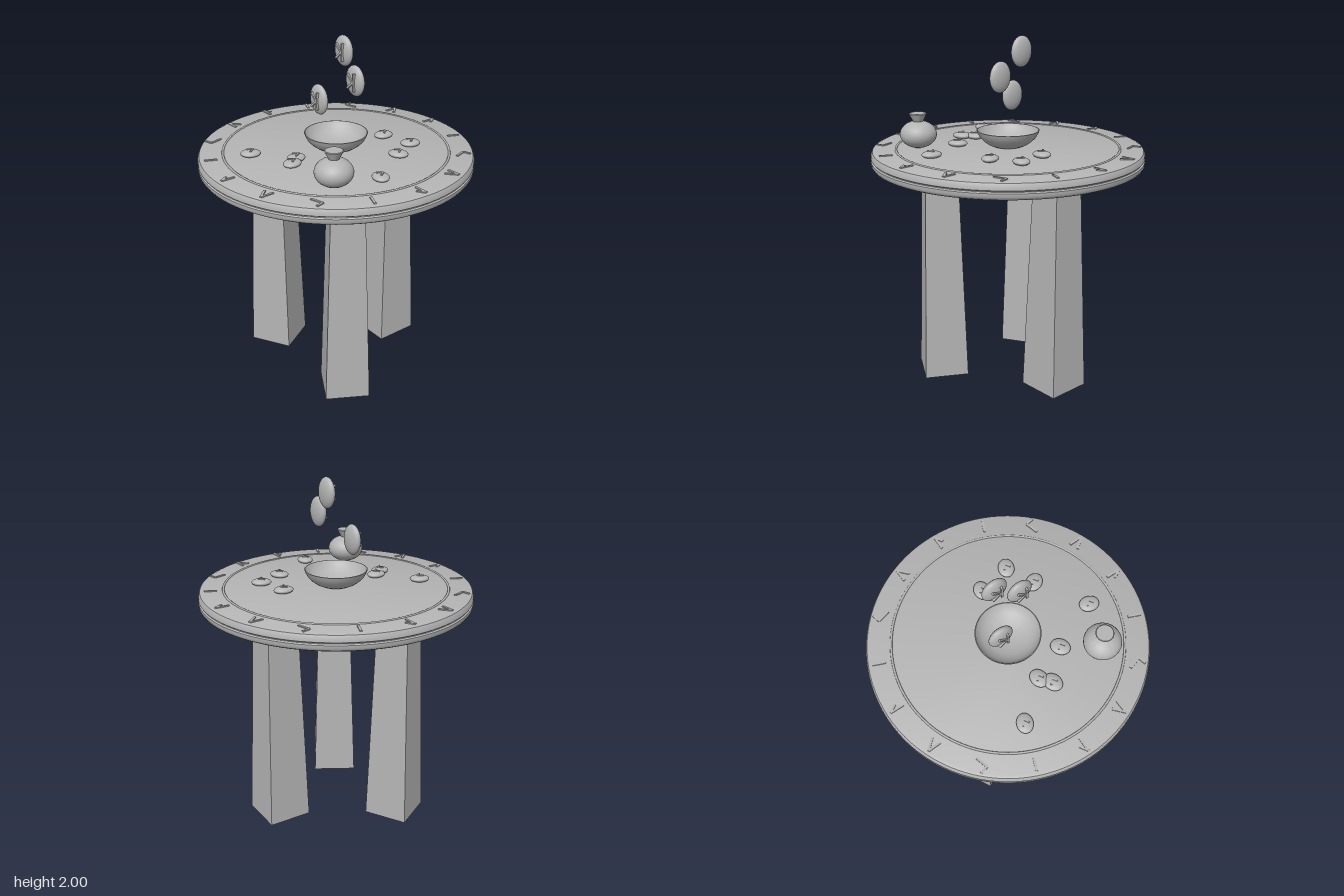
import * as THREE from 'three';
import { toCreasedNormals } from 'three/addons/utils/BufferGeometryUtils.js';

const stone = new THREE.MeshStandardMaterial({ color: 0xb4b4b4 });
stone.name = 'grey stone';

function mesh(name, geometry, parent) {
  const m = new THREE.Mesh(geometry, stone);
  m.name = name;
  parent.add(m);
  return m;
}

function group(name, parent) {
  const g = new THREE.Group();
  g.name = name;
  parent.add(g);
  return g;
}

// Turned part from [radius, height] pairs, running bottom to top
function lathe(points, segments = 64, crease = 0.6) {
  const profile = points.map(([r, y]) => new THREE.Vector2(r, y));
  return toCreasedNormals(new THREE.LatheGeometry(profile, segments), crease);
}

// Thin raised bar from a to b in the xy plane, facing +z
function stroke(parent, [ax, ay], [bx, by], width, depth) {
  const length = Math.hypot(bx - ax, by - ay);
  const m = mesh('carvedStroke', new THREE.BoxGeometry(length, width, depth), parent);
  m.position.set((ax + bx) / 2, (ay + by) / 2, 0);
  m.rotation.z = Math.atan2(by - ay, bx - ax);
}

function pebble(parent, rx, ry, rz) {
  const geometry = new THREE.SphereGeometry(1, 28, 18);
  geometry.scale(rx, ry, rz);
  return mesh('pebble', geometry, parent);
}

export function createModel() {
  const model = new THREE.Group();
  model.name = 'stoneTable';

  // Round table top with a grooved edge
  mesh('tableTop', lathe([
    [0, 1.27], [0.765, 1.27], [0.778, 1.278], [0.785, 1.29], [0.785, 1.308],
    [0.777, 1.314], [0.777, 1.318], [0.785, 1.324], [0.783, 1.345],
    [0.775, 1.36], [0.76, 1.366], [0, 1.366],
  ], 96), model);
  const ridge = mesh('innerRing', new THREE.TorusGeometry(0.642, 0.007, 8, 96), model);
  ridge.rotation.x = Math.PI / 2;
  ridge.position.y = 1.365;

  // Four stroke patterns repeat around the rim: x clockwise, y outward
  const patterns = [
    [[[0, 0.04], [0, -0.04]], [[0, 0.04], [0.028, -0.005]]],
    [[[0, 0.036], [0, -0.036]]],
    [[[-0.03, 0.006], [-0.006, 0.045]], [[-0.03, 0.006], [0.036, -0.03]]],
    [[[0, 0.04], [-0.026, -0.032]], [[0, 0.04], [0.026, -0.032]]],
  ];
  for (let i = 0; i < 16; i++) {
    const a = i * Math.PI / 8;
    const spoke = group('rimMark', model);
    spoke.rotation.y = -a;
    spoke.position.set(0.715 * Math.sin(a), 1.367, -0.715 * Math.cos(a));
    const flat = group('markStrokes', spoke);
    flat.rotation.x = -Math.PI / 2;
    patterns[i % 4].forEach(([p, q]) => stroke(flat, p, q, 0.013, 0.01));
  }

  // Three tapered square legs, each with a diamond collar
  for (let i = 0; i < 3; i++) {
    const pivot = group('leg', model);
    pivot.rotation.y = i * Math.PI * 2 / 3;
    const shaft = new THREE.CylinderGeometry(0.093 * Math.SQRT2, 0.128 * Math.SQRT2, 1.24, 4);
    shaft.rotateY(Math.PI / 4);
    mesh('legShaft', toCreasedNormals(shaft, 0.5), pivot).position.set(0, 0.62, -0.4);
    const collar = new THREE.TorusGeometry(0.125, 0.025, 12, 4);
    collar.rotateX(Math.PI / 2);
    mesh('legCollar', toCreasedNormals(collar, 0.7), pivot).position.set(0, 1.24, -0.4);
  }

  // Open bowl in the middle
  mesh('bowl', lathe([
    [0, 1.366], [0.09, 1.37], [0.115, 1.382], [0.14, 1.4], [0.16, 1.42], [0.174, 1.444],
    [0.181, 1.462], [0.176, 1.463], [0.165, 1.44], [0.14, 1.412], [0.1, 1.39], [0.05, 1.379], [0, 1.376],
  ], 64, 0.9), model);

  // Round pot with a flared neck
  const potProfile = [[0, 1.366]];
  for (let i = 1; i <= 14; i++) {
    const t = -Math.PI / 2 + i * (Math.PI * 0.91) / 14;
    potProfile.push([0.105 * Math.cos(t), 1.444 + 0.078 * Math.sin(t)]);
  }
  potProfile.push([0.034, 1.528], [0.05, 1.562], [0.046, 1.565], [0, 1.565]);
  mesh('pot', lathe(potProfile, 48), model).position.set(0.4, 0, 0.32);

  // Marked pebbles lying on the table: x, z, turn
  [
    [0.04, -0.32, -0.1], [0.23, -0.36, -0.4], [0.31, -0.2, -1.1], [0.49, 0.08, 1.3],
    [0.21, 0.2, 0.6], [0.01, 0.285, 0.2], [0.06, 0.345, 0.3], [-0.195, 0.45, -0.4],
  ].forEach(([x, z, turn]) => {
    const g = group('tablePebble', model);
    g.position.set(x, 1.382, z);
    pebble(g, 0.046, 0.02, 0.057).rotation.y = turn;
    const mark = group('pebbleMark', g);
    mark.rotation.x = -Math.PI / 2;
    mark.position.y = 0.018;
    for (const s of [-1, 1]) stroke(mark, [0, 0.017], [s * 0.02, -0.013], 0.009, 0.012);
  });

  // Marked pebbles hanging in the air above the bowl: x, y, z, tilt
  [
    [-0.03, 1.913, -0.078, 0.06], [0.105, 1.78, -0.052, 0.08], [-0.083, 1.645, 0.055, 0.06],
  ].forEach(([x, y, z, tilt]) => {
    const g = group('floatingPebble', model);
    g.position.set(x, y, z);
    pebble(g, 0.072, 0.087, 0.032).rotation.z = tilt;
    const mark = group('pebbleMark', g);
    mark.position.z = 0.03;
    stroke(mark, [0.024, 0.05], [0.024, -0.05], 0.011, 0.018);
    for (const s of [-1, 1]) stroke(mark, [0.02, 0], [-0.028, s * 0.04], 0.011, 0.018);
  });

  return model;
}
